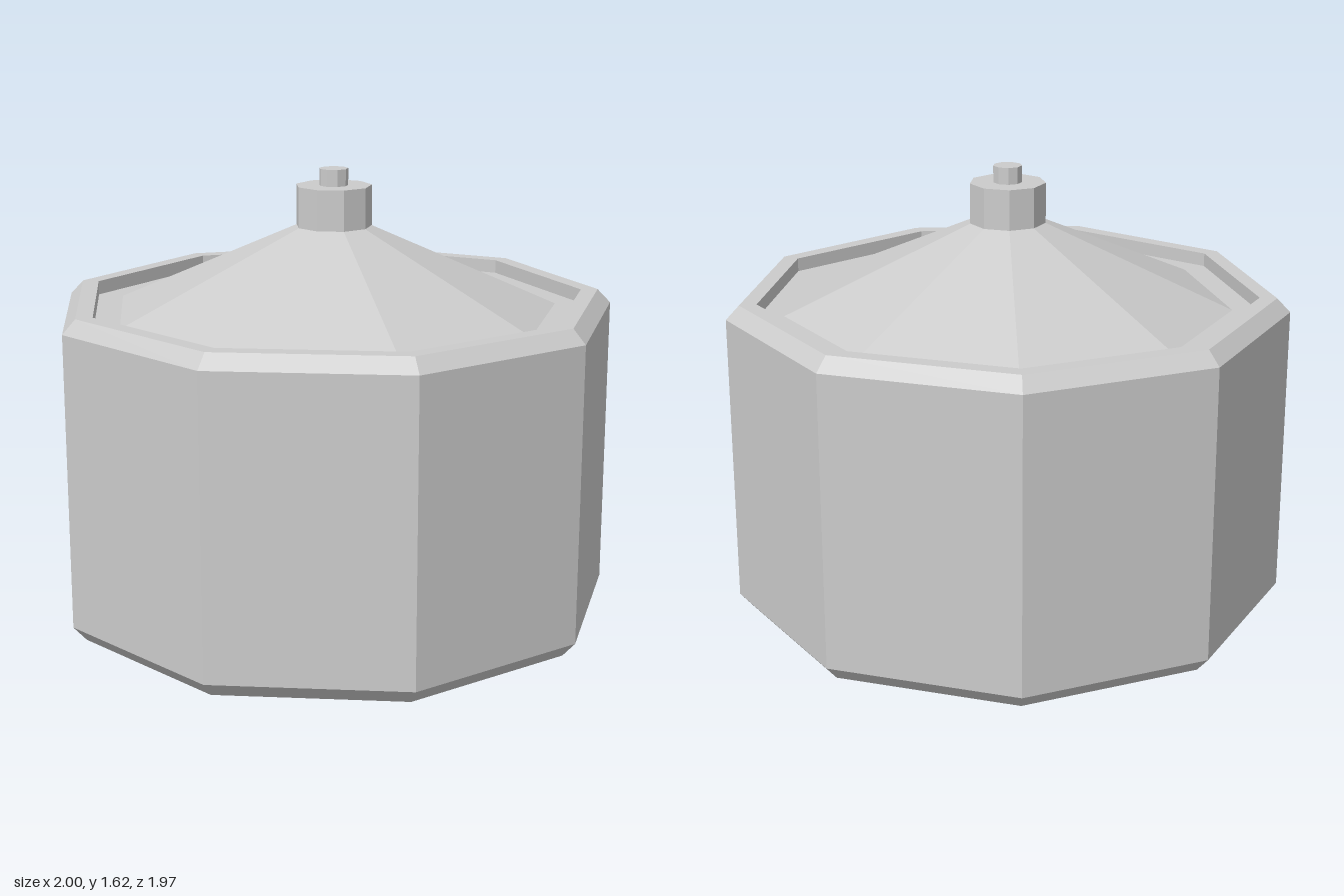
import * as THREE from 'three';

const SIDES = 9;

export function createModel() {
  const model = new THREE.Group();
  model.name = 'lowPolyPot';
  const material = new THREE.MeshStandardMaterial({ color: 0xcccccc, flatShading: true });

  // Nine-sided turned part: profile of [radius, height] from bottom to top, one corner facing the back
  function turned(name, profile) {
    const points = profile.map(([r, y]) => new THREE.Vector2(r, y));
    const mesh = new THREE.Mesh(new THREE.LatheGeometry(points, SIDES, Math.PI), material);
    mesh.name = name;
    mesh.position.z = 0.03; // centres the odd-sided outline in depth
    model.add(mesh);
  }

  // Body with bevelled base and rim, and a shallow recess inside the rim
  turned('body', [
    [0, 0], [0.967, 0], [1.015, 0.055], [1.015, 1.115], [0.967, 1.165],
    [0.905, 1.165], [0.905, 1.115], [0.81, 1.115],
  ]);

  // Sloping lid rising from the recess
  turned('lid', [[0.81, 1.115], [0.135, 1.415]]);

  // Collar on top of the lid
  turned('collar', [[0, 1.415], [0.137, 1.415], [0.137, 1.56], [0, 1.56]]);

  // Small knob on the collar
  turned('knob', [[0.052, 1.56], [0.052, 1.62], [0, 1.62]]);

  return model;
}
